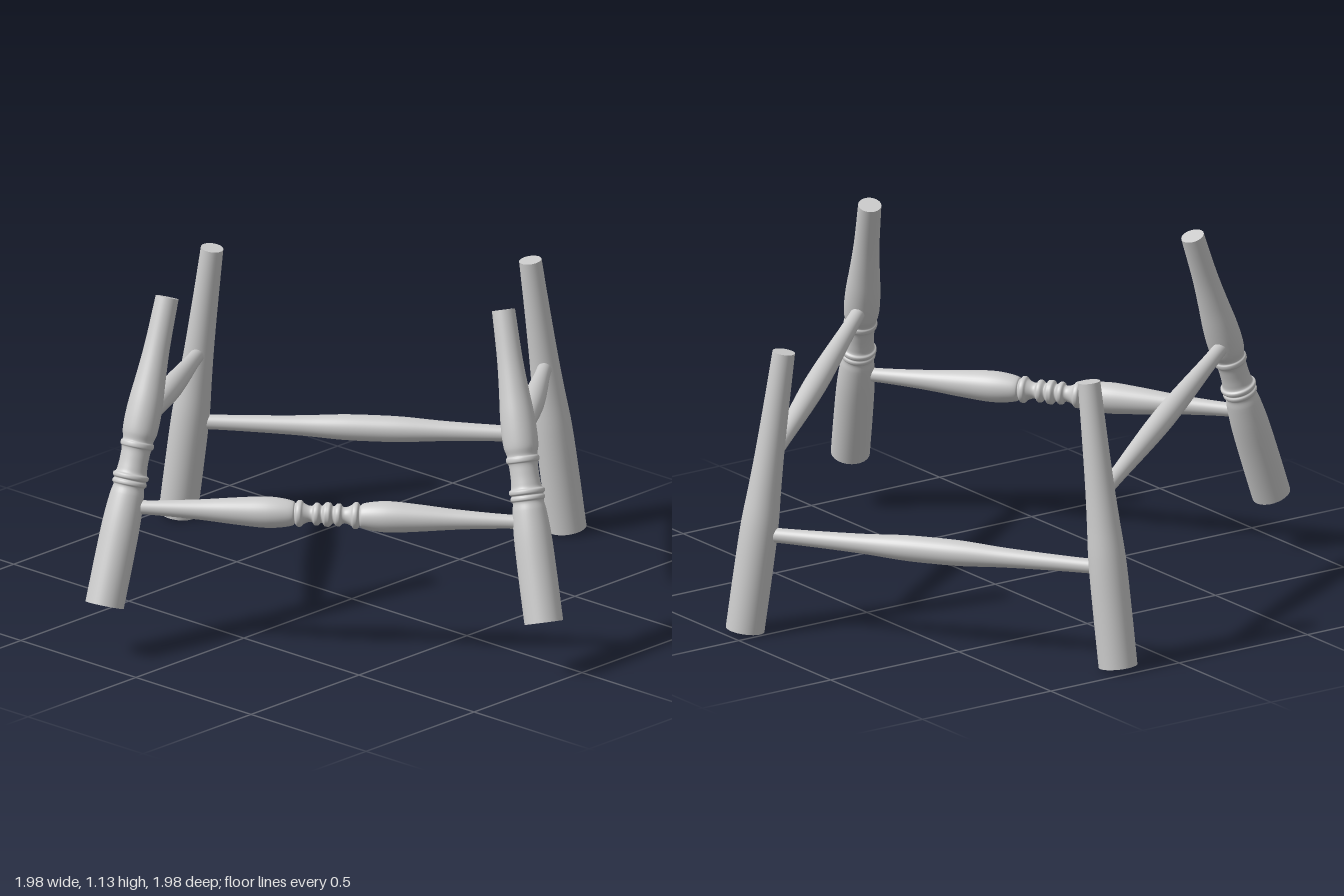
import * as THREE from 'three';
import { mergeGeometries } from 'three/addons/utils/BufferGeometryUtils.js';

const material = new THREE.MeshStandardMaterial({ color: 0xcccccc });
const UP = new THREE.Vector3(0, 1, 0);

// Turned rod between two points; profile is a list of [fraction along, radius]
function turned(name, from, to, profile) {
  const length = from.distanceTo(to);
  const curve = new THREE.CatmullRomCurve3(
    profile.map(([t, r]) => new THREE.Vector3(r, t * length, 0)), false, 'centripetal');
  const points = curve.getPoints((profile.length - 1) * 5).map(p => new THREE.Vector2(p.x, p.y));
  const side = new THREE.LatheGeometry(points, 36);
  const bottom = new THREE.CircleGeometry(profile[0][1], 36).rotateX(Math.PI / 2);
  const top = new THREE.CircleGeometry(profile[profile.length - 1][1], 36)
    .rotateX(-Math.PI / 2).translate(0, length, 0);
  const mesh = new THREE.Mesh(mergeGeometries([side, bottom, top]), material);
  mesh.name = name;
  mesh.position.copy(from);
  mesh.quaternion.setFromUnitVectors(UP, to.clone().sub(from).normalize());
  return mesh;
}

// Mirrors a half profile, given from the end to the middle
const mirrored = half => [...half, ...half.slice(0, -1).reverse().map(([t, r]) => [1 - t, r])];

const backLegProfile = [[0, 0.062], [0.2, 0.062], [0.38, 0.06], [0.5, 0.053], [0.62, 0.047], [0.8, 0.041], [1, 0.036]];

const frontLegProfile = [
  [0, 0.062], [0.15, 0.062], [0.28, 0.06], [0.36, 0.054], [0.388, 0.05],
  [0.394, 0.055], [0.402, 0.055], [0.408, 0.051],                     // lower bead
  [0.414, 0.057], [0.424, 0.057], [0.43, 0.05],                       // collar
  [0.45, 0.047], [0.48, 0.046], [0.51, 0.048],                        // cove
  [0.516, 0.053], [0.528, 0.053], [0.534, 0.049],                     // upper bead
  [0.56, 0.055], [0.6, 0.057], [0.66, 0.055], [0.74, 0.048], [0.84, 0.041], [1, 0.037]];

const frontStretcherProfile = mirrored([
  [0, 0.022], [0.06, 0.023], [0.18, 0.032], [0.28, 0.044], [0.35, 0.05], [0.39, 0.046], [0.416, 0.038],
  [0.42, 0.033], [0.426, 0.042], [0.435, 0.042], [0.441, 0.034],      // end ring
  [0.455, 0.026], [0.463, 0.027],
  [0.469, 0.036], [0.477, 0.036], [0.486, 0.027],                     // small beads
  [0.494, 0.038], [0.5, 0.039]]);

const plainStretcherProfile = r => mirrored([
  [0, 0.023], [0.12, 0.025], [0.3, 0.032], [0.42, r * 0.97], [0.5, r]]);

export function createModel() {
  const group = new THREE.Group();
  const v = (x, y, z) => new THREE.Vector3(x, y, z);

  // Splayed legs: foot and top centres
  const legs = {
    frontRightLeg: [v(-0.197, 0.18, 0.935), v(-0.247, 1.115, 0.592), frontLegProfile],
    frontLeftLeg: [v(0.928, 0.18, 0.10), v(0.61, 1.115, -0.052), frontLegProfile],
    backLeftLeg: [v(0.063, 0.011, -0.93), v(0.006, 0.928, -0.82), backLegProfile],
    backRightLeg: [v(-0.933, 0.011, -0.19), v(-0.807, 0.928, -0.213), backLegProfile],
  };
  for (const [name, [foot, top, profile]] of Object.entries(legs)) group.add(turned(name, foot, top, profile));

  // Stretchers join leg axes at a fraction of each leg's length
  const onLeg = (name, t) => legs[name][0].clone().lerp(legs[name][1], t);
  const stretcher = (name, legA, a, legB, b, profile) =>
    group.add(turned(name, onLeg(legA, a), onLeg(legB, b), profile));
  stretcher('frontStretcher', 'frontRightLeg', 0.32, 'frontLeftLeg', 0.32, frontStretcherProfile);
  stretcher('backStretcher', 'backRightLeg', 0.345, 'backLeftLeg', 0.345, plainStretcherProfile(0.042));
  stretcher('rightStretcher', 'frontRightLeg', 0.585, 'backRightLeg', 0.6, plainStretcherProfile(0.037));
  stretcher('leftStretcher', 'frontLeftLeg', 0.585, 'backLeftLeg', 0.6, plainStretcherProfile(0.037));
  return group;
}
